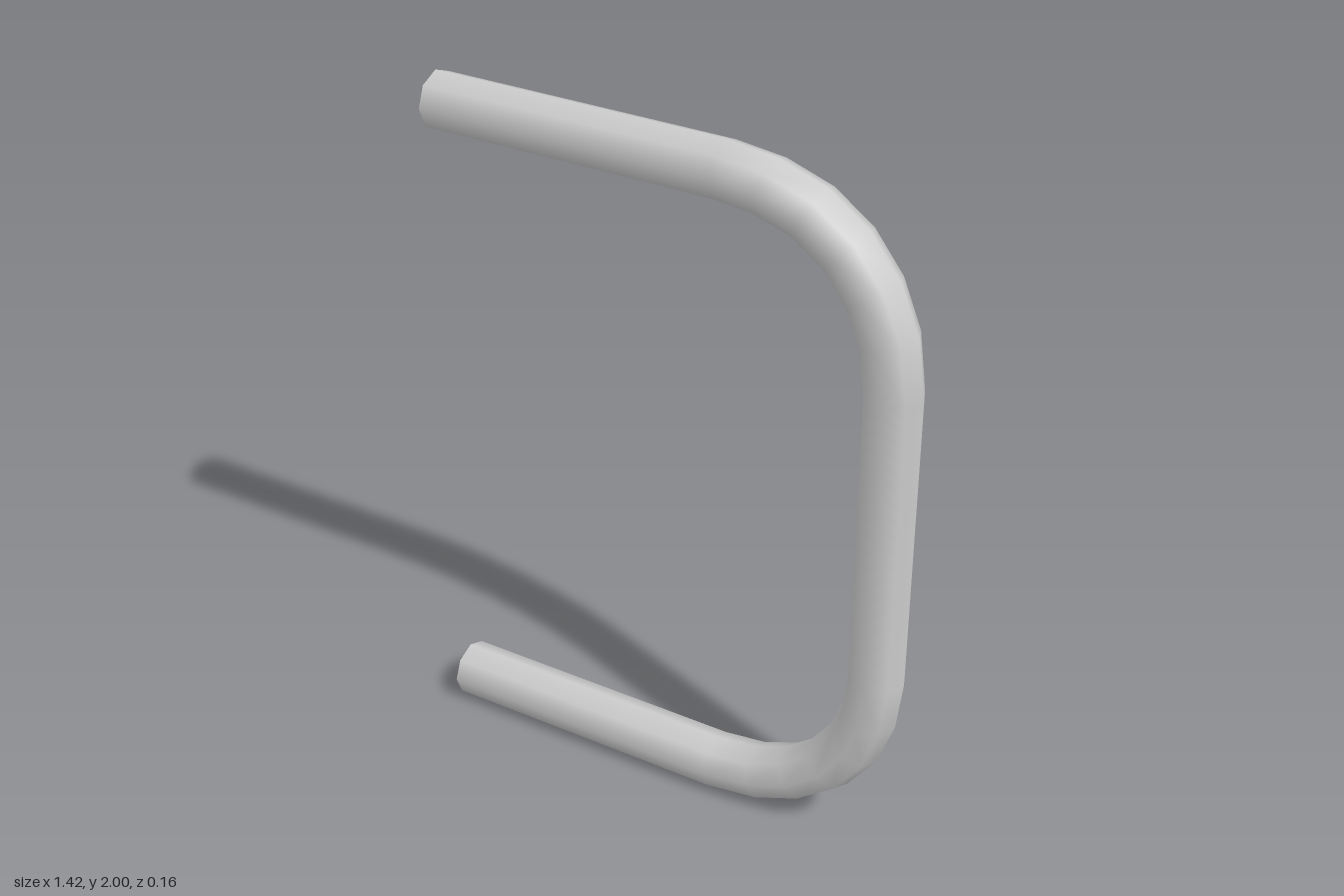
import * as THREE from 'three';

const R = 0.08;      // tube radius
const SIDES = 8;
const END_X = -0.71;

// bend stations: angle in degrees and centreline radius
const BEND = [[0, 0.485], [17, 0.487], [32, 0.493], [46.2, 0.497], [60.5, 0.495], [75, 0.487], [90, 0.485]];

// Centreline stations: position plus the angle of the outward direction
function stations() {
  const list = [{ x: END_X, y: R, a: 0 }];
  for (const [cy, turn] of [[0.565, 0], [1.435, 90]]) {
    for (const [deg, r] of BEND) {
      const a = THREE.MathUtils.degToRad(deg + turn);
      list.push({ x: 0.145 + r * Math.sin(a), y: cy - r * Math.cos(a), a });
    }
  }
  list.push({ x: END_X, y: 2 - R, a: Math.PI });
  return list;
}

// Octagonal rings swept along the centreline
function sweep(path) {
  const pos = [], nor = [], idx = [];
  path.forEach(({ x, y, a }, i) => {
    for (let j = 0; j < SIDES; j++) {
      const t = (j / SIDES) * Math.PI * 2;
      const n = [Math.cos(t) * Math.sin(a), -Math.cos(t) * Math.cos(a), -Math.sin(t)];
      pos.push(x + R * n[0], y + R * n[1], R * n[2]);
      nor.push(...n);
      if (i < path.length - 1) {
        const k = (j + 1) % SIDES, p = i * SIDES, q = p + SIDES;
        idx.push(p + j, p + k, q + j, p + k, q + k, q + j);
      }
    }
  });
  const g = new THREE.BufferGeometry();
  g.setAttribute('position', new THREE.Float32BufferAttribute(pos, 3));
  g.setAttribute('normal', new THREE.Float32BufferAttribute(nor, 3));
  g.setIndex(idx);
  return g;
}

export function createModel() {
  const group = new THREE.Group();
  group.name = 'barHandle';
  const material = new THREE.MeshStandardMaterial({ color: 0xcccccc });

  // Bent bar
  const bar = new THREE.Mesh(sweep(stations()), material);
  bar.name = 'bentBar';
  group.add(bar);

  // Flat end caps facing -x
  for (const [name, y] of [['lowerEndCap', R], ['upperEndCap', 2 - R]]) {
    const cap = new THREE.Mesh(new THREE.CircleGeometry(R, SIDES), material);
    cap.name = name;
    cap.rotation.y = -Math.PI / 2;
    cap.position.set(END_X, y, 0);
    group.add(cap);
  }
  return group;
}
